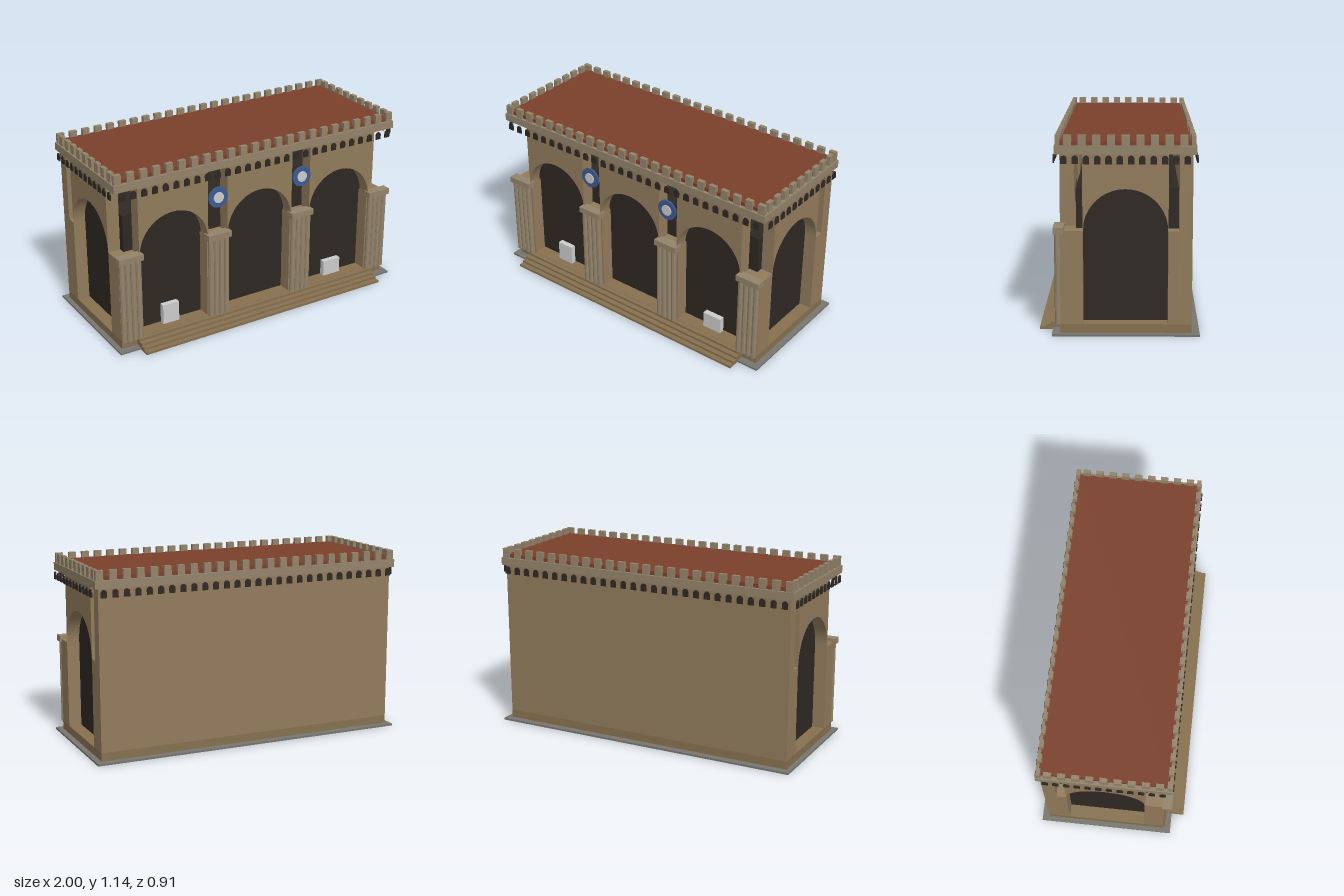
import * as THREE from 'three';

const mat = (color) => new THREE.MeshStandardMaterial({ color, flatShading: true });

export function createModel() {
  const model = new THREE.Group();
  const CX = -0.003; // centre line of the building
  const CZ = -0.035; // middle of its depth
  const stone = mat(0x917b5c), trim = mat(0x93836a), stepStone = mat(0x86704f);
  const dark = mat(0x2e2822), tile = mat(0x7a402c), slab = mat(0x77756f);
  const blue = mat(0x3c5a92), white = mat(0xcccccc);

  const add = (name, geometry, material, x = 0, y = 0, z = 0) => {
    const mesh = new THREE.Mesh(geometry, material);
    mesh.name = name;
    mesh.position.set(x, y, z);
    model.add(mesh);
    return mesh;
  };
  // box given by its limits on each axis
  const box = (name, material, [x0, x1], [y0, y1], [z0, z1]) =>
    add(name, new THREE.BoxGeometry(x1 - x0, y1 - y0, z1 - z0), material,
      (x0 + x1) / 2, (y0 + y1) / 2, (z0 + z1) / 2);

  // ground slab, plinth and front steps
  box('groundSlab', slab, [-1, 1], [0, 0.012], [-0.455, 0.38]);
  box('plinth', stepStone, [CX - 0.967, CX + 0.967], [0.012, 0.062], [-0.41, 0.335]);
  for (let i = 0; i < 4; i++) {
    box('step', stepStone, [CX - 0.865, CX + 0.865], [i * 0.015, (i + 1) * 0.015],
      [0.3, 0.457 - i * 0.031]);
  }

  // dark inner hall and solid back wall
  box('innerHall', dark, [CX - 0.888, CX + 0.888], [0.062, 0.83], [-0.336, 0.245]);
  box('backWall', stone, [CX - 0.967, CX + 0.967], [0.062, 1.035], [-0.41, -0.335]);

  // spandrel panel with a semicircular cut-out, standing on the piers
  const archPanel = (halfWidth, radius, depth) => {
    const s = new THREE.Shape();
    s.moveTo(-halfWidth, 0.6);
    s.lineTo(-radius, 0.6);
    s.absarc(0, 0.6, radius, Math.PI, 0, true);
    s.lineTo(halfWidth, 0.6);
    s.lineTo(halfWidth, 1.035);
    s.lineTo(-halfWidth, 1.035);
    s.closePath();
    return new THREE.ExtrudeGeometry(s, { depth, bevelEnabled: false, curveSegments: 20 });
  };
  for (const x of [-0.6, 0, 0.6]) {
    add('frontArch', archPanel(0.233, 0.229, 0.083), stone, CX + x, 0, 0.256);
  }
  for (const side of [-1, 1]) {
    const arch = add('sideArch', archPanel(0.24, 0.238, 0.078), stone,
      CX + (side > 0 ? 0.889 : -0.967), 0, CZ);
    arch.rotation.y = Math.PI / 2;

    // corner piers
    const xs = (a, b) => (side > 0 ? [CX + a, CX + b] : [CX - b, CX - a]);
    box('frontCornerPier', stone, xs(0.828, 0.967), [0.062, 0.6], [0.205, 0.33]);
    box('backCornerPier', stone, xs(0.885, 0.967), [0.062, 0.6], [-0.336, -0.275]);
  }

  // inner piers, clustered columns and capitals
  for (const x of [-0.9, -0.3, 0.3, 0.9]) {
    if (Math.abs(x) < 0.5) {
      box('innerPier', stone, [CX + x - 0.072, CX + x + 0.072], [0.062, 0.6], [0.24, 0.33]);
    }
    for (let i = 0; i < 4; i++) {
      add('columnShaft', new THREE.CylinderGeometry(0.018, 0.018, 0.52, 10), trim,
        CX + x + (i - 1.5) * 0.036, 0.322, 0.347);
    }
    box('capital', trim, [CX + x - 0.08, CX + x + 0.08], [0.582, 0.62], [0.312, 0.371]);
  }

  // cornice and roof
  box('cornice', trim, [CX - 0.99, CX + 0.99], [1.035, 1.082], [-0.43, 0.36]);
  box('roof', tile, [CX - 0.965, CX + 0.965], [1.08, 1.104], [-0.41, 0.34]);

  // battlements along all four edges
  const merlonX = new THREE.BoxGeometry(0.045, 0.06, 0.025);
  const merlonZ = new THREE.BoxGeometry(0.025, 0.06, 0.045);
  for (let i = 0; i < 24; i++) {
    const x = CX - 0.96 + (i * 1.92) / 23;
    add('frontMerlon', merlonX, trim, x, 1.111, 0.341);
    add('backMerlon', merlonX, trim, x, 1.111, -0.411);
  }
  for (let i = 0; i < 9; i++) {
    const z = 0.286 - i * 0.0805;
    add('leftMerlon', merlonZ, trim, CX + 0.97, 1.111, z);
    add('rightMerlon', merlonZ, trim, CX - 0.97, 1.111, z);
  }

  // row of small dark arches below the cornice
  const nicheShape = new THREE.Shape();
  nicheShape.moveTo(-0.018, 0.983);
  nicheShape.lineTo(0.018, 0.983);
  nicheShape.lineTo(0.018, 1.012);
  nicheShape.absarc(0, 1.012, 0.018, 0, Math.PI, false);
  nicheShape.closePath();
  const niche = new THREE.ExtrudeGeometry(nicheShape,
    { depth: 0.007, bevelEnabled: false, curveSegments: 8 });
  niche.translate(0, 0, -0.0035);
  const sideNiche = niche.clone().rotateY(Math.PI / 2);
  for (let i = 0; i < 28; i++) {
    const x = CX - 0.94 + (i * 1.88) / 27;
    add('frontNiche', niche, dark, x, 0, 0.365);
    add('backNiche', niche, dark, x, 0, -0.435);
  }
  for (let i = 0; i < 12; i++) {
    const z = 0.306 - i * 0.062;
    add('leftNiche', sideNiche, dark, 0.995, 0, z);
    add('rightNiche', sideNiche, dark, -0.996, 0, z);
  }

  // round medallions between the arches
  for (const x of [-0.3, 0.3]) {
    const disc = add('medallion', new THREE.CylinderGeometry(0.065, 0.065, 0.011, 32), blue,
      CX + x, 0.85, 0.343);
    const centre = add('medallionCentre', new THREE.CylinderGeometry(0.034, 0.034, 0.008, 24),
      white, CX + x, 0.85, 0.351);
    disc.rotation.x = centre.rotation.x = Math.PI / 2;
  }

  // pale blocks standing in the outer arches
  box('tallBlock', white, [-0.66, -0.55], [0.062, 0.19], [0.25, 0.285]);
  box('lowBlock', white, [0.535, 0.662], [0.062, 0.165], [0.25, 0.285]);

  return model;
}
